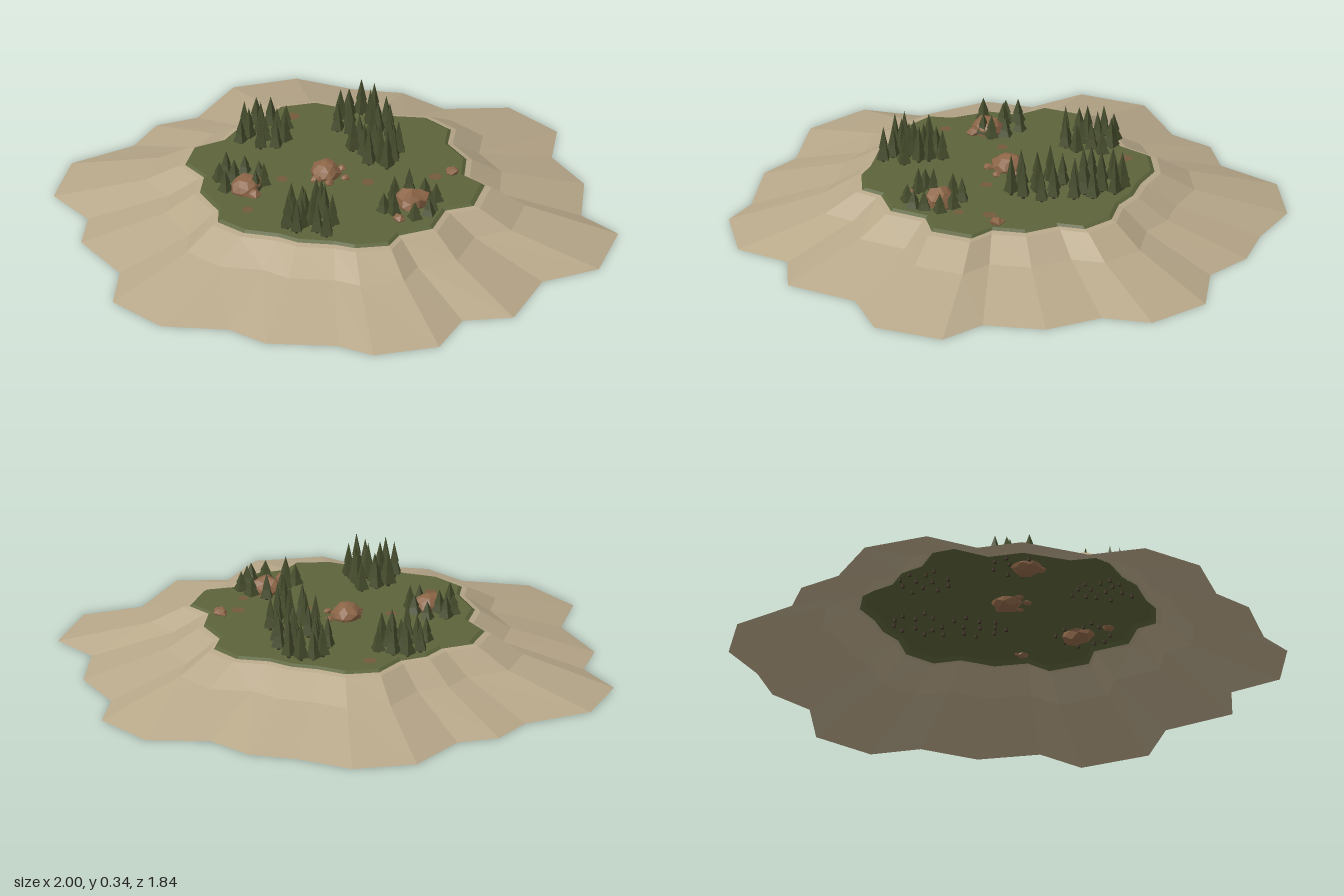
import * as THREE from 'three';
import { mergeGeometries } from 'three/addons/utils/BufferGeometryUtils.js';

const GROUND = 0.178;

// Matching outlines [x, z], clockwise from the back: foot of the slope and plateau rim
const FOOT = [
  [0, -.92], [.17, -.85], [.39, -.92], [.6, -.8], [.63, -.62], [.79, -.47], [.84, -.25], [1, -.16],
  [1, .1], [.83, .24], [.8, .51], [.63, .58], [.6, .78], [.39, .9], [.25, .87], [0, .92],
  [-.15, .86], [-.39, .9], [-.6, .78], [-.63, .575], [-.82, .4], [-.84, .235], [-1, .11], [-1, -.13],
  [-.82, -.31], [-.78, -.47], [-.655, -.56], [-.59, -.8], [-.39, -.92], [-.18, -.9]];
const RIM = [
  [0, -.5], [.09, -.48], [.21, -.5], [.32, -.44], [.335, -.34], [.43, -.25], [.455, -.13], [.545, -.085],
  [.545, .07], [.455, .13], [.445, .27], [.34, .35], [.325, .43], [.21, .48], [.13, .475], [0, .495],
  [-.08, .475], [-.21, .48], [-.32, .43], [-.34, .35], [-.44, .24], [-.455, .13], [-.545, .06], [-.545, -.07],
  [-.455, -.15], [-.43, -.24], [-.355, -.31], [-.32, -.44], [-.21, -.5], [-.1, -.49]];

// Groves: [x, z] of each tree in hundredths of a unit
const GROVES = [
  { name: 'backGrove', height: .14, trees: [
    [-6, -42], [-2, -44], [3, -43], [-8, -38], [3, -38], [9, -37], [7, -33], [-4, -35], [-7, -30], [-2, -29],
    [6, -29], [12, -31], [3, -23], [9, -22], [14, -24], [18, -21], [2, -18], [7, -15], [12, -17], [18, -14],
    [10, -10], [17, -9], [14, -12]] },
  { name: 'backLeftGrove', height: .125, trees: [
    [-31, -28], [-36, -27], [-25, -27], [-39, -22], [-33, -22], [-27, -22], [-23, -18], [-36, -17],
    [-30, -17], [-25, -13], [-30, -11], [-38, -13]] },
  { name: 'frontLeftGrove', height: .09, trees: [
    [-31, 7], [-37, 10], [-25, 10], [-33, 14], [-38, 15], [-34, 22], [-22, 14], [-24, 18]] },
  { name: 'frontRightGrove', height: .09, trees: [
    [29, 5], [35, 6], [25, 10], [40, 9], [26, 17], [24, 21], [40, 15], [40, 19], [36, 23], [28, 22]] },
  { name: 'frontGrove', height: .135, trees: [
    [0, 24], [-4, 28], [3, 28], [-7, 32], [-2, 32], [5, 31], [9, 35], [2, 36], [-5, 37], [-6, 41], [-1, 40],
    [5, 41], [9, 43], [-2, 43]] }];

// Boulders: x, z, radius
const ROCKS = [
  [-.03, 0, .058], [-.05, .055, .022], [0, .065, .02], [.045, .015, .018], [.015, -.05, .018],
  [.32, .12, .062], [.305, .245, .024], [-.275, .18, .06], [-.24, .215, .028], [.4, -.125, .028], [.385, -.14, .014]];

// Bare soil: x, z, radius
const PATCHES = [[-.25, -.36, .026], [.35, -.08, .026], [.13, .02, .024], [-.17, .08, .022], [-.23, .32, .022], [.37, .03, .02]];

const mat = (name, color, side = THREE.FrontSide) => {
  const m = new THREE.MeshStandardMaterial({ color, side });
  m.name = name;
  return m;
};

// Small seeded random function
const seeded = (seed) => () => {
  seed = (seed * 16807) % 2147483647;
  return seed / 2147483647;
};

const flat = (geometry) => {
  const g = geometry.index ? geometry.toNonIndexed() : geometry;
  g.computeVertexNormals();
  return g;
};

// Ring of points between rim (t = 0) and foot (t = 1), scaled about the centre
const ring = (t, y, scale = 1) => RIM.map(([x, z], i) => [
  (x + (FOOT[i][0] - x) * t) * scale, y, (z + (FOOT[i][1] - z) * t) * scale]);

// Faceted surface through rings listed from outside to inside
function loft(rings) {
  const p = [];
  for (let r = 0; r < rings.length - 1; r++) {
    const out = rings[r], inn = rings[r + 1];
    for (let i = 0; i < out.length; i++) {
      const j = (i + 1) % out.length;
      p.push(...out[i], ...inn[i], ...inn[j], ...out[i], ...inn[j], ...out[j]);
    }
  }
  const g = new THREE.BufferGeometry();
  g.setAttribute('position', new THREE.Float32BufferAttribute(p, 3));
  return flat(g);
}

function rockGeometry(x, z, r, seed) {
  const g = new THREE.IcosahedronGeometry(1, r > .04 ? 1 : 0);
  const pos = g.attributes.position, v = new THREE.Vector3();
  for (let i = 0; i < pos.count; i++) {
    v.fromBufferAttribute(pos, i);
    // Same corner, same dent, so the facets stay joined
    v.multiplyScalar(1 + .16 * Math.sin(v.x * 5 + seed * 2) * Math.cos(v.y * 4 + v.z * 6 + seed));
    pos.setXYZ(i, v.x, v.y, v.z);
  }
  g.scale(r, r * .75, r * .9).rotateY(seed * 1.7).translate(x, GROUND + r * .15, z);
  return flat(g);
}

export function createModel() {
  const model = new THREE.Group();
  model.name = 'forestedPlateau';
  const sand = mat('sand', 0xb8a88a, THREE.DoubleSide);
  const grass = mat('grass', 0x5b633a, THREE.DoubleSide);
  const foliage = mat('foliage', 0x454c2c);
  const bark = mat('bark', 0x3f3524);
  const stone = mat('stone', 0x8c6547);
  const soil = mat('soil', 0x735a3c);
  const add = (parent, name, geometry, material) => {
    const mesh = new THREE.Mesh(geometry, material);
    mesh.name = name;
    parent.add(mesh);
  };

  // Open-bottomed slope with a narrow ledge, and the grassy top
  add(model, 'slope', loft([ring(1, 0), ring(.28, .097), ring(.02, .165), ring(0, .17, .975)]), sand);
  add(model, 'grassTop', loft([ring(0, .166, .985), ring(0, GROUND, .95), ring(0, GROUND, 0)]), grass);

  // Bare soil patches
  add(model, 'soilPatches', mergeGeometries(PATCHES.map(([x, z, r]) =>
    new THREE.CircleGeometry(r, 6).rotateX(-Math.PI / 2).translate(x, GROUND + .002, z))), soil);

  // Groves of two-tiered, four-sided conifers
  const random = seeded(4711);
  for (const { name, height, trees } of GROVES) {
    const leaves = [], trunks = [];
    for (const [cx, cz] of trees) {
      const h = height * (.78 + .37 * random()), r = .027 + .004 * random();
      const turn = random() * Math.PI, x = cx / 100, z = cz / 100;
      const tier = (radius, from, to) => leaves.push(flat(new THREE.ConeGeometry(radius, h * (to - from), 4))
        .rotateY(turn).translate(x, GROUND + h * (from + to) / 2, z));
      tier(r, .1, .75);
      tier(r * .65, .42, 1);
      trunks.push(flat(new THREE.CylinderGeometry(.006, .007, .04, 5)).translate(x, GROUND + .008, z));
    }
    const grove = new THREE.Group();
    grove.name = name;
    add(grove, 'foliage', mergeGeometries(leaves), foliage);
    add(grove, 'trunks', mergeGeometries(trunks), bark);
    model.add(grove);
  }

  // Boulders sunk into the ground
  const rocks = new THREE.Group();
  rocks.name = 'boulders';
  ROCKS.forEach(([x, z, r], i) => add(rocks, 'boulder', rockGeometry(x, z, r, i + 1), stone));
  model.add(rocks);
  return model;
}
